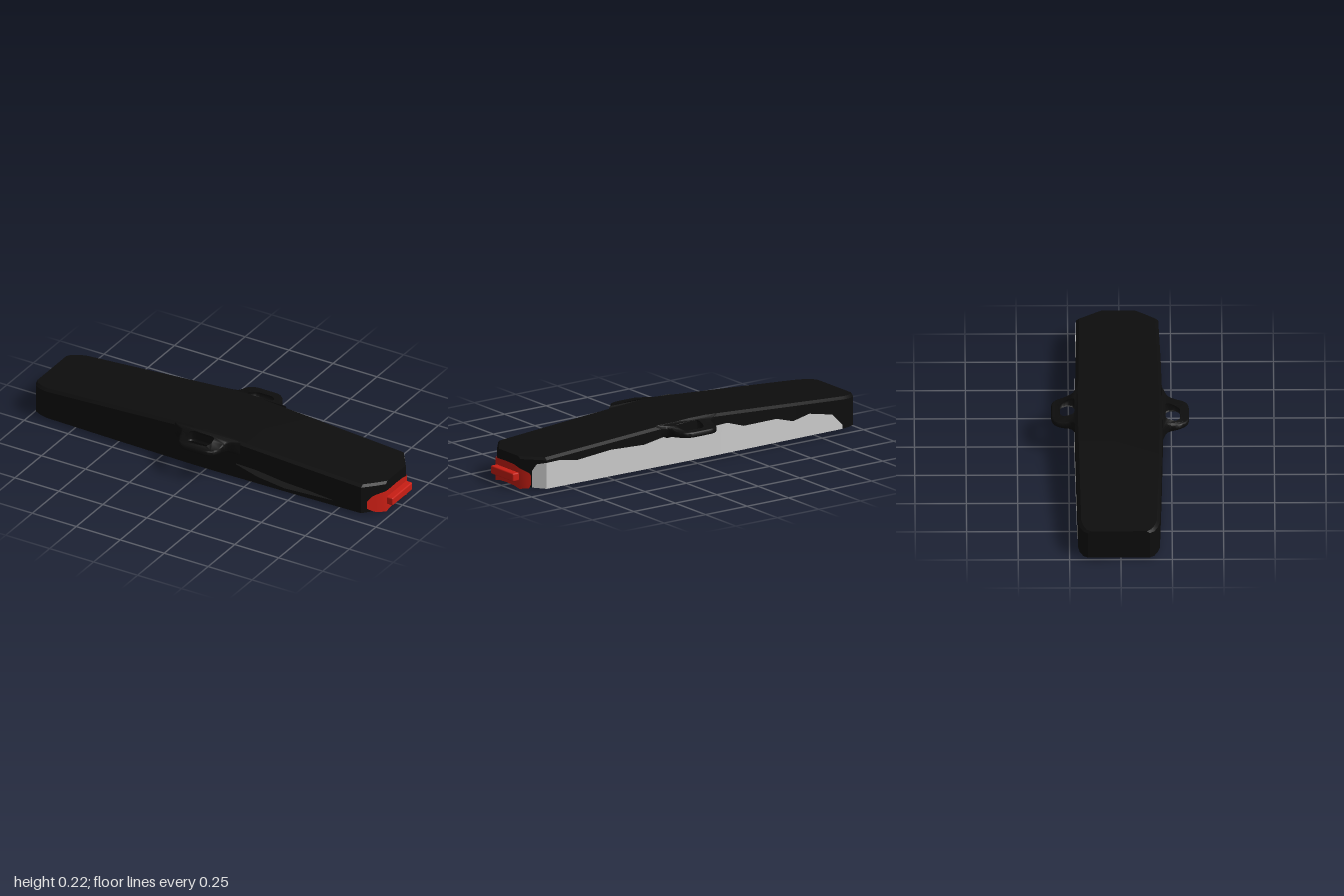
import * as THREE from 'three';
import { mergeVertices, toCreasedNormals } from 'three/addons/utils/BufferGeometryUtils.js';
import { RoundedBoxGeometry } from 'three/addons/geometries/RoundedBoxGeometry.js';

const material = (color) => new THREE.MeshStandardMaterial({ color, side: THREE.DoubleSide });
const black = material(0x0d0d0d);
const grey = material(0xcccccc);
const dimGrey = material(0x2c2c2c);
const red = material(0xc81e14);

// Body stations: x, back z, front z
const STATIONS = [
  [-1, -0.16, 0.14], [-0.985, -0.183, 0.162], [-0.95, -0.2, 0.18], [-0.91, -0.208, 0.19],
  [-0.5, -0.214, 0.2], [-0.08, -0.22, 0.208], [0.02, -0.22, 0.208], [0.5, -0.214, 0.2],
  [0.88, -0.21, 0.19], [0.93, -0.142, 0.13], [0.96, -0.1, 0.09],
];
const BOTTOM = 0.012;

// Piecewise linear lookup in rows sorted by their first entry
function lookup(rows, x, column) {
  let i = 0;
  while (i < rows.length - 2 && x > rows[i + 1][0]) i++;
  const [a, b] = [rows[i], rows[i + 1]];
  const t = THREE.MathUtils.clamp((x - a[0]) / (b[0] - a[0]), 0, 1);
  return a[column] + (b[column] - a[column]) * t;
}
const topY = (x) => lookup([[-1, 0.165], [-0.08, 0.222], [-0.03, 0.225], [0.02, 0.222], [0.96, 0.162]], x, 1);

function buildGeometry(positions, index, crease) {
  const geometry = new THREE.BufferGeometry();
  geometry.setAttribute('position', new THREE.Float32BufferAttribute(positions, 3));
  geometry.setIndex(index);
  return toCreasedNormals(geometry, crease);
}

// Hollow cover, open underneath, lofted through the stations
function bodyGeometry() {
  const positions = [], index = [], n = 6;
  for (const [x, back, front] of STATIONS) {
    const y = topY(x);
    positions.push(
      x, BOTTOM, back, x, y - 0.012, back, x, y, back + 0.015,
      x, y, front - 0.015, x, y - 0.012, front, x, BOTTOM, front);
  }
  for (let s = 0; s < STATIONS.length - 1; s++) {
    for (let k = 0; k < n - 1; k++) {
      const a = s * n + k, b = a + 1, c = a + n, d = c + 1;
      index.push(a, b, c, b, d, c);
    }
  }
  const last = (STATIONS.length - 1) * n;
  for (let k = 1; k < n - 1; k++) {
    index.push(0, k + 1, k);
    index.push(last, last + k, last + k + 1);
  }
  return buildGeometry(positions, index, 0.5);
}

// Upright ribbon through points of x, z, lower y, upper y
function ribbonGeometry(points) {
  const positions = [], index = [];
  points.forEach(([x, z, low, high], i) => {
    positions.push(x, low, z, x, high, z);
    if (i) {
      const a = 2 * i - 2;
      index.push(a, a + 2, a + 1, a + 1, a + 2, a + 3);
    }
  });
  return buildGeometry(positions, index, 0.9);
}

// Side loop: a flared tab with a rounded hole, thickening up into the body
function loopGeometry() {
  const shape = new THREE.Shape();
  shape.moveTo(-0.15, 0.205);
  shape.bezierCurveTo(-0.1, 0.222, -0.085, 0.222, -0.08, 0.25);
  shape.bezierCurveTo(-0.08, 0.3, -0.06, 0.329, -0.01, 0.329);
  shape.lineTo(0.08, 0.329);
  shape.bezierCurveTo(0.12, 0.329, 0.14, 0.29, 0.15, 0.25);
  shape.bezierCurveTo(0.155, 0.222, 0.17, 0.222, 0.21, 0.205);
  shape.closePath();
  const hole = new THREE.Path();
  hole.moveTo(-0.025, 0.245);
  hole.bezierCurveTo(-0.025, 0.275, -0.01, 0.293, 0.02, 0.293);
  hole.lineTo(0.07, 0.293);
  hole.bezierCurveTo(0.1, 0.293, 0.115, 0.265, 0.115, 0.24);
  hole.bezierCurveTo(0.115, 0.218, 0.09, 0.22, 0.06, 0.222);
  hole.lineTo(0, 0.222);
  hole.bezierCurveTo(-0.02, 0.222, -0.025, 0.23, -0.025, 0.245);
  shape.holes.push(hole);
  let geometry = new THREE.ExtrudeGeometry(shape, {
    depth: 0.5, bevelThickness: 0.25, bevelSize: 0.006, bevelSegments: 4, curveSegments: 10,
  });
  // Lay flat and bend: distance from body, lower y, upper y
  const profile = [[0.2, 0.135, 0.219], [0.22, 0.153, 0.212], [0.25, 0.159, 0.2],
    [0.28, 0.161, 0.19], [0.335, 0.164, 0.19]];
  const p = geometry.attributes.position;
  for (let i = 0; i < p.count; i++) {
    const d = p.getY(i), t = p.getZ(i) + 0.25;
    p.setXYZ(i, p.getX(i), THREE.MathUtils.lerp(lookup(profile, d, 1), lookup(profile, d, 2), t), -d);
  }
  geometry.deleteAttribute('normal');
  geometry.deleteAttribute('uv');
  geometry = mergeVertices(geometry, 1e-5);
  return toCreasedNormals(geometry, 0.9);
}

export function createModel() {
  const model = new THREE.Group();
  model.name = 'cover';
  const add = (name, geometry, mat) => {
    const mesh = new THREE.Mesh(geometry, mat);
    mesh.name = name;
    model.add(mesh);
    return mesh;
  };

  add('body', bodyGeometry(), black);

  // Pair of side loops
  const loop = loopGeometry();
  add('backLoop', loop, black);
  const frontLoop = add('frontLoop', loop, black);
  frontLoop.rotation.y = Math.PI;
  frontLoop.position.x = 0.045;

  // Worn grey area on the back wall: x, share of the wall height
  const wear = [[-0.9, 0.15], [-0.84, 0.55], [-0.7, 0.7], [-0.6, 0.55], [-0.5, 0.7], [-0.3, 0.65],
    [-0.2, 0.8], [-0.08, 0.75], [0.02, 0.7], [0.15, 0.8], [0.3, 0.7], [0.5, 0.8], [0.7, 0.75],
    [0.8, 0.9], [0.88, 0.92], [0.91, 0.85], [0.925, 0.6]];
  add('backWear', ribbonGeometry(wear.map(([x, share]) => [
    x + (x > 0.87 ? 0.002 : 0), lookup(STATIONS, x, 1) - 0.003, BOTTOM,
    BOTTOM + share * (topY(x) - 0.012 - BOTTOM),
  ])), grey);

  // Faint streak on the front wall
  const streak = [[0.18, 0.085, 0.09], [0.3, 0.05, 0.085], [0.45, 0.03, 0.065], [0.6, 0.035, 0.055], [0.72, 0.04, 0.042]];
  add('frontStreak', ribbonGeometry(streak.map(([x, low, high]) => [
    x, lookup(STATIONS, x, 2) + 0.002, low, high])), dimGrey);

  // Red end patch wrapped round the nose, with an arched lower edge
  add('endPatch', ribbonGeometry([
    [0.902, 0.172, 0.035, 0.075], [0.918, 0.153, 0.018, 0.098], [0.935, 0.133, 0.006, 0.106],
    [0.965, 0.094, 0, 0.115], [0.966, 0.06, 0.008, 0.116], [0.966, 0, 0.01, 0.117],
    [0.966, -0.06, 0.008, 0.115], [0.965, -0.102, 0, 0.105],
    [0.936, -0.142, 0.008, 0.085], [0.93, -0.15, 0.03, 0.07],
  ]), red);

  // Latch bar on the nose
  const latch = add('latch', new RoundedBoxGeometry(0.06, 0.042, 0.186, 3, 0.007), red);
  latch.position.set(0.97, 0.06, -0.003);

  return model;
}
